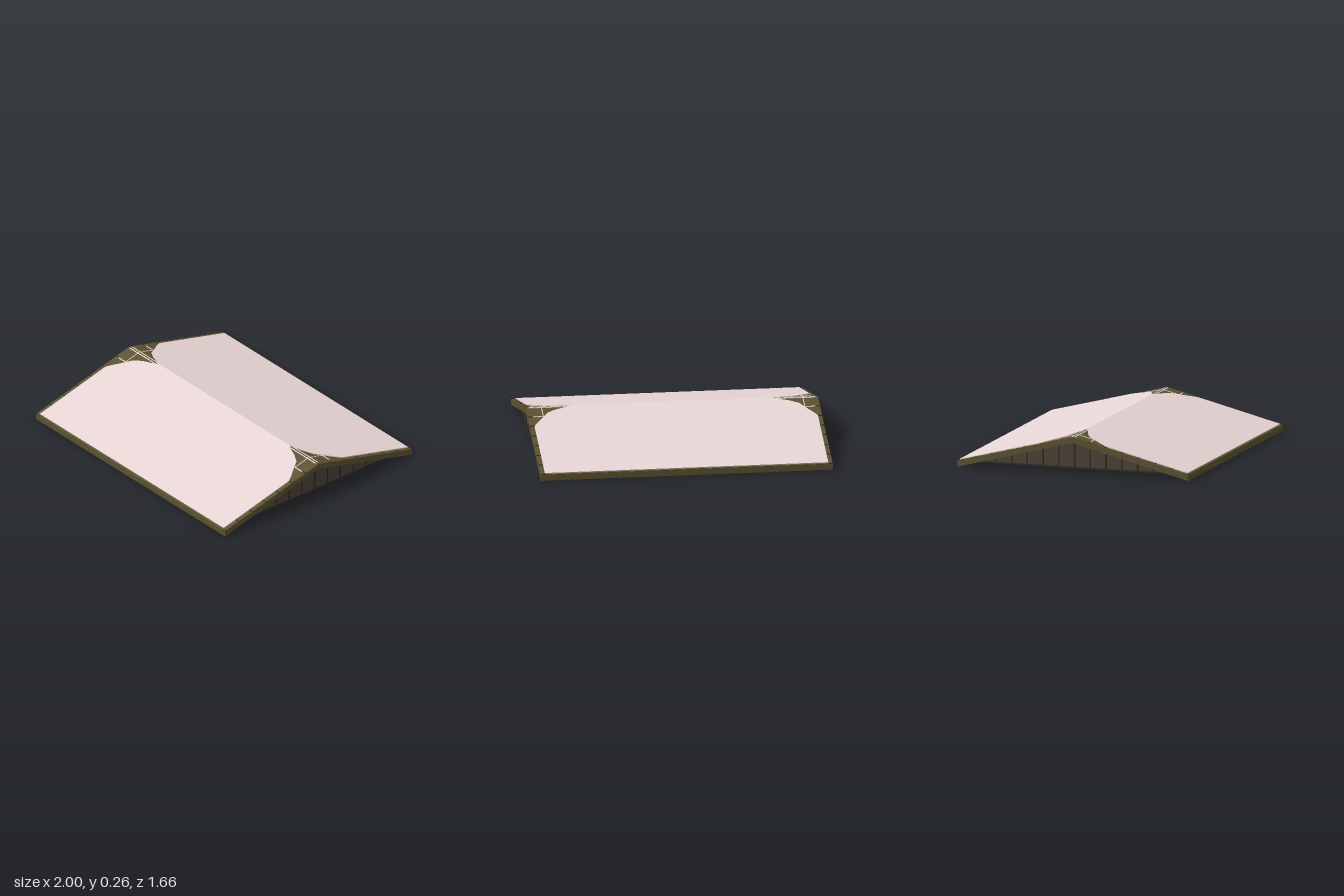
import * as THREE from 'three';

const EAVE_Z = 0.83, EAVE_TOP = 0.04, RIDGE_TOP = 0.25, UNDER_RIDGE = 0.213;
const PITCH = Math.atan((RIDGE_TOP - EAVE_TOP) / EAVE_Z);
const SLOPE = Math.hypot(EAVE_Z, RIDGE_TOP - EAVE_TOP);

const wood = new THREE.MeshStandardMaterial({ color: 0x5c5230 });
const darkWood = new THREE.MeshStandardMaterial({ color: 0x2e2a20 });
const boards = new THREE.MeshStandardMaterial({ color: 0x4a4236 });
const snow = new THREE.MeshStandardMaterial({ color: 0xe8d6d6 });

function add(parent, name, geometry, material, x = 0, y = 0, z = 0) {
  const mesh = new THREE.Mesh(geometry, material);
  mesh.name = name;
  mesh.position.set(x, y, z);
  parent.add(mesh);
  return mesh;
}

function box(parent, name, size, pos, material) {
  return add(parent, name, new THREE.BoxGeometry(...size), material, ...pos);
}

const toShape = (points) => new THREE.Shape(points.map(([x, y]) => new THREE.Vector2(x, y)));

// Extrudes a (z, y) profile along x, centred on x = 0
function alongX(points, depth) {
  return new THREE.ExtrudeGeometry(toShape(points), { depth, bevelEnabled: false })
    .translate(0, 0, -depth / 2)
    .rotateY(Math.PI / 2);
}

// One roof side: local z runs down the slope from the ridge
function createSlope() {
  const slope = new THREE.Group();
  slope.name = 'roofSlope';
  slope.position.y = RIDGE_TOP;
  slope.rotation.x = PITCH;

  // Overlapping shingle courses, each lifted a little at its lower edge
  const courses = 7, step = SLOPE / courses;
  for (let i = 0; i < courses; i++) {
    const course = box(slope, 'shingleCourse', [1.996, 0.004, step * 0.98],
      [0, 0, (i + 0.5) * step], wood);
    course.rotation.x = -0.012;
    for (const side of [-1, 1]) {
      box(slope, 'courseEnd', [0.03, 0.003, 0.006], [side * 0.985, 0.0025, (i + 1) * step - 0.004], darkWood);
    }
  }

  // Snow sheet, melted back at the ridge corners
  const edge = [[0.69, -0.002], [0.73, 0.02], [0.8, 0.045], [0.86, 0.08],
    [0.91, 0.155], [0.94, 0.195], [0.97, 0.245], [0.97, 0.842]];
  const outline = [...edge, ...edge.map(([x, d]) => [-x, d]).reverse()];
  const sheet = new THREE.ExtrudeGeometry(toShape(outline), { depth: 0.007, bevelEnabled: false })
    .rotateX(Math.PI / 2);
  add(slope, 'snowSheet', sheet, snow, 0, 0.008, 0);

  // Thin snow left in the seams of the bare corners
  for (const side of [-1, 1]) {
    box(slope, 'seamSnow', [0.07, 0.004, 0.007], [side * 0.932, 0.004, 0.124], snow);
    box(slope, 'seamSnow', [0.005, 0.004, 0.125], [side * 0.895, 0.004, 0.064], snow);
    box(slope, 'ridgeSnow', [0.28, 0.004, 0.007], [side * 0.84, 0.004, 0.01], snow);
  }
  return slope;
}

// Boarded triangular wall under each end of the roof
function createGable() {
  const gable = new THREE.Group();
  gable.name = 'gable';
  const base = 0.035, half = 0.68;
  const underside = (z) => UNDER_RIDGE * (1 - Math.abs(z) / EAVE_Z);
  add(gable, 'gablePanel', alongX([[-half, base], [half, base],
    [half, underside(half) + 0.008], [0, UNDER_RIDGE + 0.008], [-half, underside(half) + 0.008]], 0.016), boards);
  for (let i = -5; i <= 5; i++) {
    const z = i * 0.113, height = underside(z) + 0.006 - base;
    box(gable, 'batten', [0.028, height, 0.01], [0, base + height / 2, z], darkWood);
  }
  box(gable, 'sill', [0.034, 0.01, half * 2], [0, 0.036, 0], darkWood);
  return gable;
}

export function createModel() {
  const model = new THREE.Group();
  model.name = 'snowyRoof';

  // Folded roof deck
  add(model, 'roofDeck', alongX([[-EAVE_Z, 0], [0, UNDER_RIDGE], [EAVE_Z, 0],
    [EAVE_Z, EAVE_TOP], [0, RIDGE_TOP], [-EAVE_Z, EAVE_TOP]], 2), wood);

  for (const turn of [0, Math.PI]) {
    const side = new THREE.Group();
    side.name = turn ? 'backRoof' : 'frontRoof';
    side.rotation.y = turn;
    side.add(createSlope());
    model.add(side);
  }

  for (const side of [-1, 1]) {
    const gable = createGable();
    gable.position.x = side * 0.945;
    model.add(gable);
  }
  return model;
}
